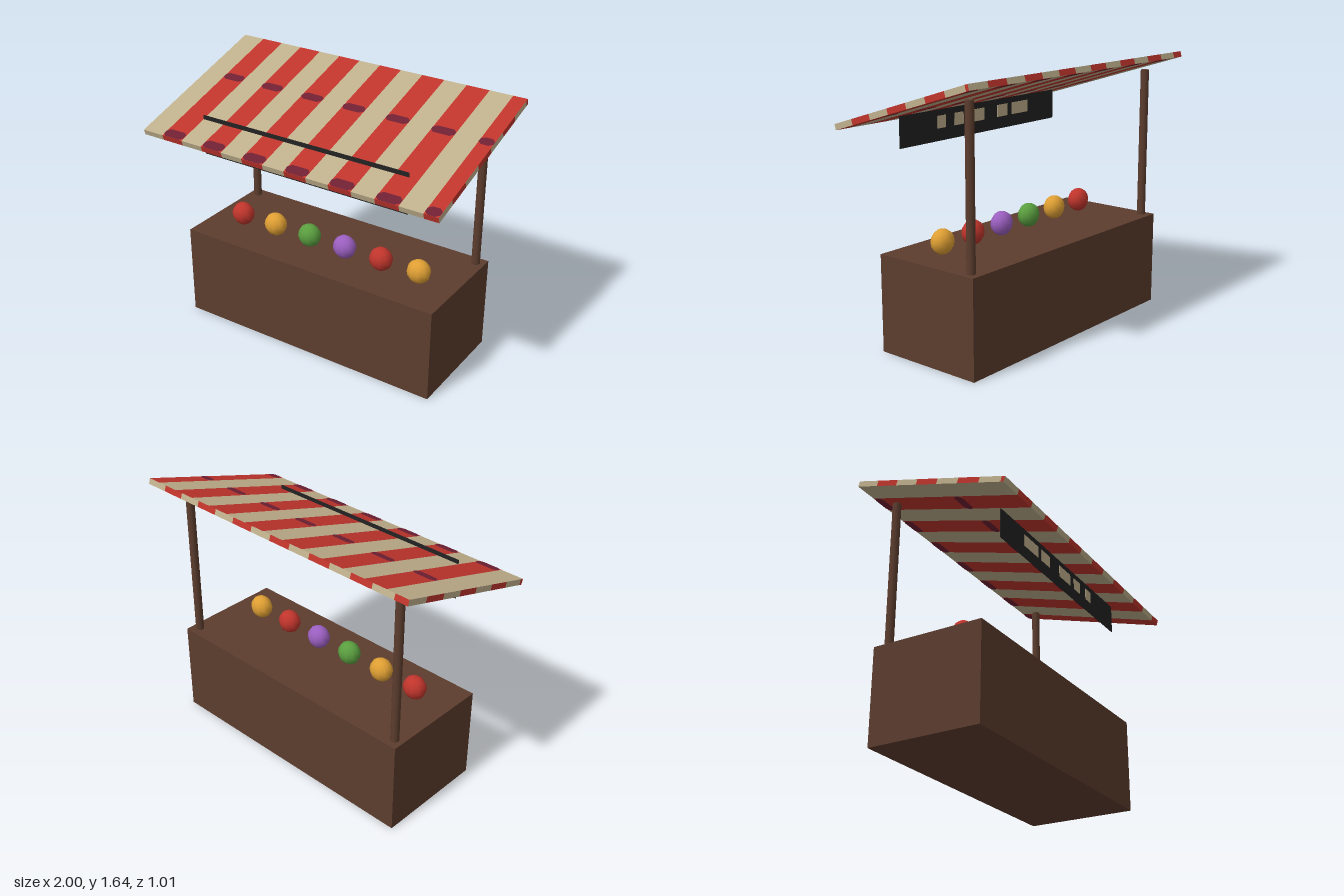
import * as THREE from 'three';

const mat = (name, color) => {
  const m = new THREE.MeshStandardMaterial({ color });
  m.name = name;
  return m;
};

export function createModel() {
  const wood = mat('brown wood', 0x5c3d2e);
  const red = mat('red', 0xc0352c);
  const cream = mat('cream', 0xc0b08c);
  const plum = mat('plum', 0x702034);
  const black = mat('sign black', 0x222222);
  const orange = mat('orange', 0xdf9f33);
  const green = mat('green', 0x5a9e3f);
  const purple = mat('purple', 0x9b5fc0);

  const model = new THREE.Group();
  model.name = 'marketStall';
  const add = (parent, name, geometry, material, x = 0, y = 0, z = 0) => {
    const mesh = new THREE.Mesh(geometry, material);
    mesh.name = name;
    mesh.position.set(x, y, z);
    parent.add(mesh);
    return mesh;
  };

  // Counter and the two rear posts
  add(model, 'counter', new THREE.BoxGeometry(1.76, 0.59, 0.705), wood, 0, 0.295, -0.0575);
  for (const side of [-1, 1]) {
    add(model, side > 0 ? 'leftPost' : 'rightPost',
      new THREE.CylinderGeometry(0.026, 0.026, 0.98, 12), wood, side * 0.825, 1.04, -0.348);
  }

  // Row of slightly flattened fruit
  const fruitGeo = new THREE.SphereGeometry(0.075, 10, 8).scale(1, 1, 0.86);
  [red, orange, green, purple, red, orange].forEach((m, i) => {
    add(model, 'fruit', fruitGeo, m, -0.65 + i * 0.259, 0.661, 0.032);
  });

  // Canopy: a tilted slab whose six faces are striped panels
  const W = 2, D = 1.05, T = 0.035, BAND = 0.147;
  const canopy = new THREE.Group();
  canopy.name = 'canopy';
  canopy.position.y = 1.47;
  canopy.rotation.x = 0.3;
  model.add(canopy);

  // Soft-cornered blotch filling a band between two heights
  const blotch = (x0, x1, y0, y1) => {
    const c = 0.022, d = (y1 - y0) * 0.3;
    return new THREE.ShapeGeometry(new THREE.Shape([
      [x0 + c, y0], [x1 - c, y0], [x1, y0 + d], [x1, y1 - d],
      [x1 - c, y1], [x0 + c, y1], [x0, y1 - d], [x0, y0 + d],
    ].map(([x, y]) => new THREE.Vector2(x, y))));
  };

  const stripedPanel = (name, w, h, rx, ry, offset, spots = []) => {
    const panel = new THREE.Group();
    panel.name = name;
    panel.rotation.set(rx, ry, 0);
    for (let i = 0; i * BAND < w; i++) {
      const x0 = -w / 2 + i * BAND;
      const x1 = Math.min(x0 + BAND, w / 2);
      add(panel, 'stripe', new THREE.PlaneGeometry(x1 - x0, h), i % 2 ? red : cream,
        (x0 + x1) / 2, 0, offset);
      if (i % 2 === 0) continue;
      for (const [a, b] of spots) {
        add(panel, 'blotch', blotch(x0, x1, a - h / 2, b - h / 2), plum, 0, 0, offset + 0.002);
      }
    }
    canopy.add(panel);
  };

  const spots = [[0, 0.066], [0.6, 0.66]];
  const q = Math.PI / 2;
  stripedPanel('canopyTop', W, D, -q, 0, T / 2, spots);
  stripedPanel('canopyUnderside', W, D, q, 0, T / 2, spots);
  stripedPanel('canopyFrontEdge', W, T, 0, 0, D / 2);
  stripedPanel('canopyBackEdge', W, T, 0, 2 * q, D / 2);
  stripedPanel('canopyLeftEdge', D, T, 0, q, W / 2);
  stripedPanel('canopyRightEdge', D, T, 0, -q, W / 2);

  // Thin sign board passing up through the canopy, with plain ornamental dashes
  add(model, 'signBoard', new THREE.BoxGeometry(1.41, 0.25, 0.004), black, 0, 1.297, 0.297);
  for (const [x, w] of [[-0.36, 0.16], [-0.19, 0.1], [0.05, 0.14], [0.21, 0.08], [0.36, 0.07]]) {
    add(model, 'signDash', new THREE.BoxGeometry(w, 0.075, 0.009), cream, x, 1.285, 0.297);
  }

  return model;
}
